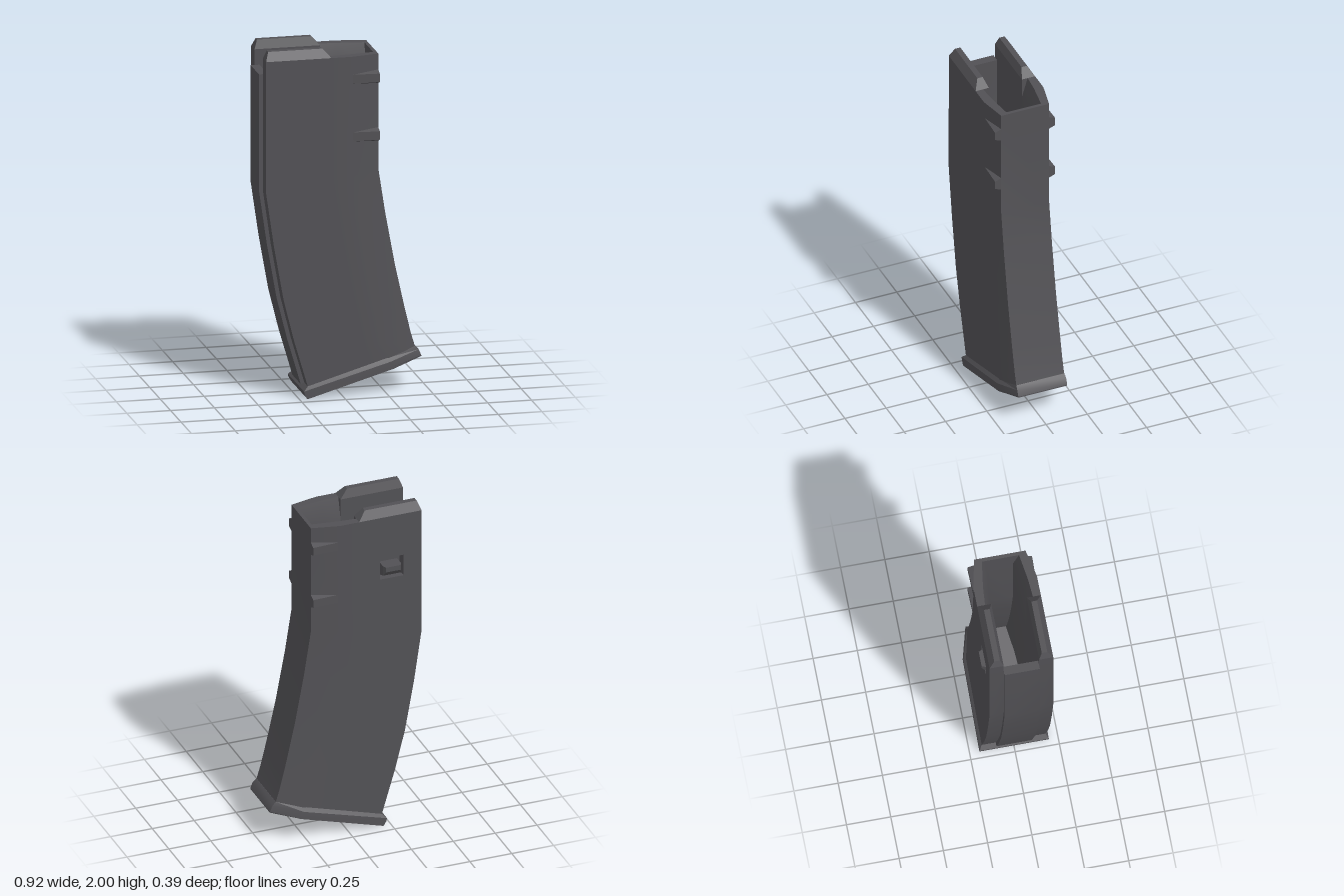
import * as THREE from 'three';
import { toCreasedNormals } from 'three/addons/utils/BufferGeometryUtils.js';
import { ConvexGeometry } from 'three/addons/geometries/ConvexGeometry.js';

const V = (x, y, z) => new THREE.Vector3(x, y, z);

// Rows from top to bottom: rear edge (x, y) and front edge (x, y) of the curved body
const ROWS = [
  [-0.46, 1.95, 0.21, 1.95],
  [-0.46, 1.19, 0.21, 1.29],
  [-0.415, 0.88, 0.25, 1.03],
  [-0.36, 0.57, 0.305, 0.73],
  [-0.3, 0.33, 0.36, 0.48],
  [-0.25, 0.16, 0.395, 0.335],
  [-0.222, 0.064, 0.42, 0.25],
];

// Point on a row, measured from the rear edge (d >= 0) or back from the front edge
function fromRear([lx, ly, rx, ry], d) {
  const k = d / Math.hypot(rx - lx, ry - ly);
  return [lx + (rx - lx) * k, ly + (ry - ly) * k];
}
function fromFront([lx, ly, rx, ry], d) {
  return fromRear([rx, ry, lx, ly], d);
}

// Quads between successive rows of points
function skin(rows, closed = false) {
  const pos = [];
  const tri = (a, b, c) => {
    const area = b.clone().sub(a).cross(c.clone().sub(a)).length();
    if (area > 1e-9) for (const p of [a, b, c]) pos.push(p.x, p.y, p.z);
  };
  for (let r = 0; r < rows.length - 1; r++) {
    const n = rows[r].length;
    for (let i = 0; i < (closed ? n : n - 1); i++) {
      const j = (i + 1) % n;
      tri(rows[r][i], rows[r + 1][i], rows[r + 1][j]);
      tri(rows[r][i], rows[r + 1][j], rows[r][j]);
    }
  }
  const g = new THREE.BufferGeometry();
  g.setAttribute('position', new THREE.Float32BufferAttribute(pos, 3));
  return g;
}

// Side outline extruded between two z values, with an optional rectangular hole
function slab(points, z0, z1, hole) {
  const shape = new THREE.Shape(points.map(([x, y]) => new THREE.Vector2(x, y)));
  if (hole) {
    const [x0, x1, y0, y1] = hole;
    shape.holes.push(new THREE.Path([[x0, y0], [x0, y1], [x1, y1], [x1, y0]]
      .map(([x, y]) => new THREE.Vector2(x, y))));
  }
  return new THREE.ExtrudeGeometry(shape, { depth: z1 - z0, bevelEnabled: false }).translate(0, 0, z0);
}

export function createModel() {
  const group = new THREE.Group();
  const grey = new THREE.MeshStandardMaterial({ color: 0x525155, side: THREE.DoubleSide });
  grey.name = 'dark grey polymer';
  const add = (name, geometry) => {
    const mesh = new THREE.Mesh(toCreasedNormals(geometry, 0.4), grey);
    mesh.name = name;
    group.add(mesh);
  };

  // Side panels, the far one with a catch recess
  const FRONT = 0.275;
  const outline = [
    ...ROWS.map((r) => fromRear(r, 0.022)),
    ...ROWS.map((r) => fromFront(r, FRONT)).reverse(),
  ];
  add('leftSidePanel', slab(outline, 0.1, 0.18));
  add('rightSidePanel', slab(outline, -0.18, -0.1, [-0.33, -0.19, 1.56, 1.69]));

  // Tapered front shell: hollow, with a funnel at the mouth
  const section = (row, profile) => {
    const half = profile.map(([d, z]) => {
      const [x, y] = fromFront(row, d);
      return V(x, y, z);
    });
    return [...half, ...half.map((p) => V(p.x, p.y, -p.z)).reverse()];
  };
  const outer = [[FRONT, 0.18], [0.16, 0.18], [0, 0.145]];
  const inner = [[FRONT, 0.1], [0.17, 0.092], [0.02, 0.07]];
  const mouth = inner.map(([d, z]) => [d, z + 0.035]);
  const throat = [-0.46, 1.83, 0.21, 1.83];
  const innerRows = [throat, ...ROWS.slice(1)].map((r) => section(r, inner)).reverse();
  add('frontShell', skin([
    ...innerRows,
    section(ROWS[0], mouth),
    ...ROWS.map((r) => section(r, outer)),
  ]));

  // Raised rear spine between the side panels
  const spineRows = [[-0.46, 1.86, 0.21, 1.86], ...ROWS.slice(1)];
  add('rearSpine', slab([
    ...spineRows.map((r) => fromRear(r, 0)),
    ...spineRows.map((r) => fromRear(r, 0.05)).reverse(),
  ], -0.1, 0.1));

  for (const s of [1, -1]) {
    const side = s > 0 ? 'left' : 'right';
    // Chamfered feed lips
    add(side + 'FeedLip', new ConvexGeometry([
      V(-0.438, 1.95, s * 0.1), V(-0.438, 1.95, s * 0.18),
      V(-0.065, 1.95, s * 0.1), V(-0.065, 1.95, s * 0.18),
      V(-0.42, 2, s * 0.118), V(-0.42, 2, s * 0.15),
      V(-0.11, 2, s * 0.118), V(-0.11, 2, s * 0.15),
    ]));
    // Wedge ribs on the tapered front corners
    for (const y of [1.82, 1.488]) {
      add(side + 'Rib', new ConvexGeometry([-1, 1].flatMap((k) => [
        V(0.05, y + k * 0.026, s * 0.178),
        V(0.21, y + k * 0.024, s * 0.182),
        V(0.21, y + k * 0.04, s * 0.143),
        V(0.07, y + k * 0.026, s * 0.165),
      ])));
    }
  }

  // Catch in the recess
  add('recessFloor', new THREE.BoxGeometry(0.16, 0.15, 0.02).translate(-0.26, 1.625, -0.11));
  add('catch', new ConvexGeometry([
    ...[-0.315, -0.208].flatMap((x) => [
      V(x, 1.56, -0.12), V(x, 1.64, -0.12), V(x, 1.58, -0.178), V(x, 1.64, -0.178)]),
    ...[-0.305, -0.218].flatMap((x) => [V(x, 1.61, -0.2), V(x, 1.64, -0.2)]),
  ]));

  // Flared sloping base plate
  const plate = (row, w, tip) => {
    const l = fromRear(row, 0), m = fromFront(row, 0.175), r = fromFront(row, 0);
    return [V(...l, w), V(...m, w), V(...r, tip), V(...r, -tip), V(...m, -w), V(...l, -w)];
  };
  const rings = [
    plate([-0.2, 0.07, 0.42, 0.255], 0.18, 0.145),
    plate([-0.225, 0.045, 0.44, 0.235], 0.195, 0.148),
    plate([-0.222, 0.028, 0.455, 0.2], 0.195, 0.148),
    plate([-0.205, 0, 0.455, 0.194], 0.195, 0.145),
  ];
  const collapse = (ring) => {
    const c = ring.reduce((a, p) => a.add(p), V(0, 0, 0)).divideScalar(ring.length);
    return ring.map(() => c);
  };
  add('basePlate', skin([collapse(rings[0]), ...rings, collapse(rings[3])], true));

  return group;
}
